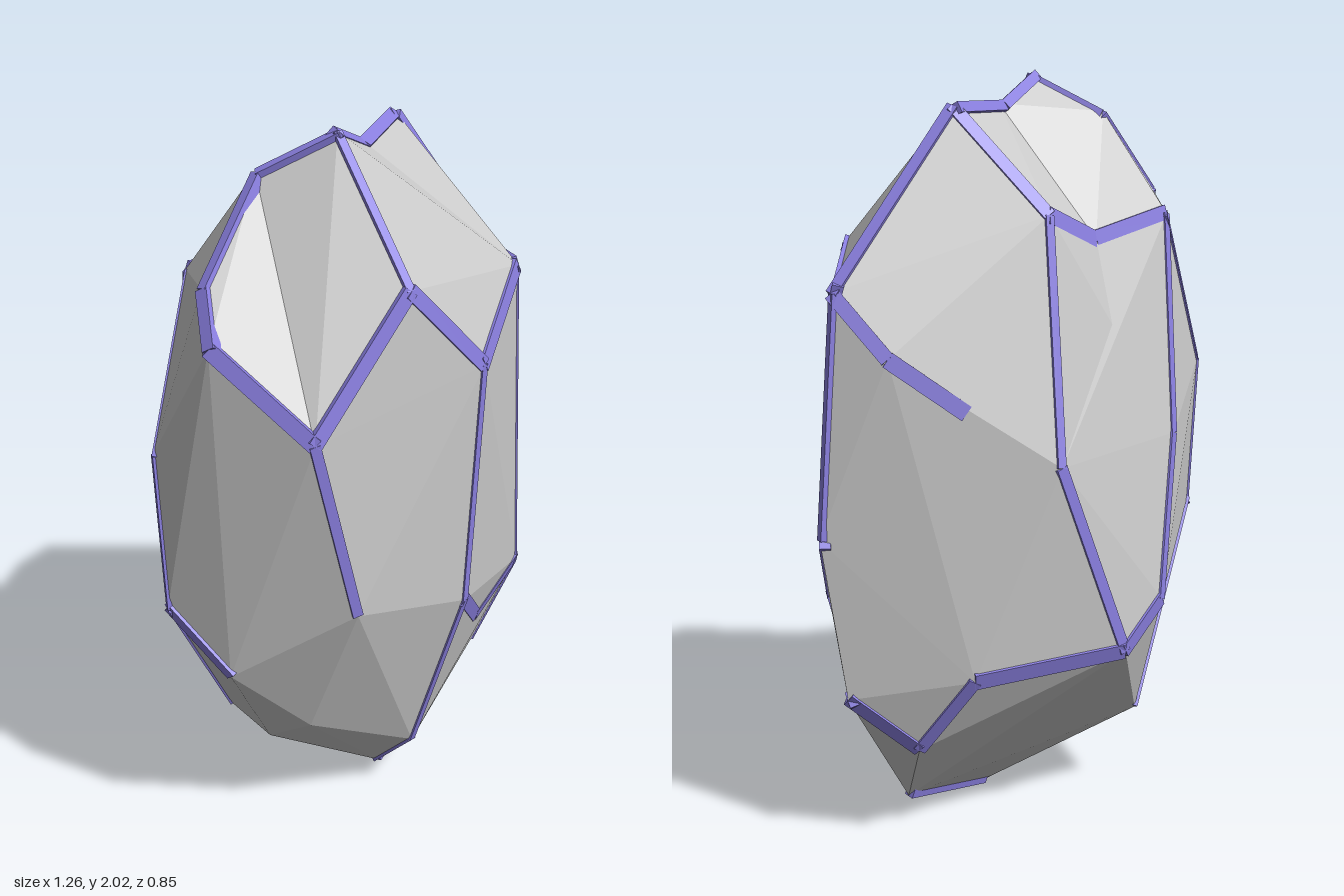
import * as THREE from 'three';
import { ConvexGeometry } from 'three/addons/geometries/ConvexGeometry.js';
import { mergeGeometries } from 'three/addons/utils/BufferGeometryUtils.js';

// Corners of the faceted stone: capitals on the front and sides, lower case on the back
const corners = {
  A: [-0.19, 2.0, 0.14], B: [-0.03, 1.925, 0.07], C: [0.21, 1.93, -0.06],
  D: [-0.33, 1.9, 0], E: [-0.56, 1.68, 0.06], F: [-0.62, 1.57, 0.15],
  G: [-0.46, 1.33, 0.34], H: [-0.18, 1.66, 0.38], I: [0.05, 1.41, 0.42],
  J: [0.34, 1.56, 0.27], K: [0.57, 1.48, -0.05], L: [0.62, 0.85, -0.05],
  M: [0.44, 0.61, 0.23], N: [0.22, 0.53, 0.27], O: [0.04, 0.71, 0.39],
  P: [0, 0.19, 0.24], Q: [0.04, 0, 0.06], R: [0.35, 0.07, -0.03],
  S: [0.41, 0.29, 0.1], T: [0.57, 0.42, -0.09], U: [-0.62, 0.77, -0.06],
  V: [-0.54, 0.59, 0.09], W: [-0.33, 0.37, 0.17], X: [-0.27, 0.18, -0.07],
  Y: [-0.335, 0.81, 0.36],
  a: [0.05, 1.66, -0.26], b: [-0.15, 1.58, -0.2], c: [-0.42, 1.63, -0.17],
  e: [-0.61, 1.2, -0.1], f: [-0.35, 1.05, -0.3], g: [-0.24, 0.62, -0.39],
  h: [-0.09, 0.51, -0.42], i: [0.12, 1.04, -0.41], j: [0.32, 0.48, -0.31],
  k: [0.41, 0.27, -0.18], l: [0.48, 1.32, -0.165], m: [0.31, 1.18, -0.26],
  n: [-0.295, 0.24, -0.22],
};

// Seams, each a chain of corners
const seamChains = [
  'KCBADEFGHIJKL', 'AH', 'GY', 'IOPQR', 'ONML', 'JMSTkjhgfcbaC',
  'aih', 'ceUn', 'UV', 'Klm',
];

const point = (key) => new THREE.Vector3(...corners[key]);
const hull = (keys) => new ConvexGeometry([...keys].map(point));
const allBut = (left) => Object.keys(corners).filter((key) => !left.includes(key));

// Face planes of a convex geometry
function facePlanes(geometry) {
  const pos = geometry.attributes.position;
  const planes = [];
  for (let v = 0; v < pos.count; v += 3) {
    const [p, q, r] = [0, 1, 2].map((s) => new THREE.Vector3().fromBufferAttribute(pos, v + s));
    planes.push(new THREE.Plane().setFromCoplanarPoints(p, q, r));
  }
  return planes;
}

// Outward direction near a point: the nearest faces count most
function outward(p, planes) {
  const out = new THREE.Vector3();
  for (const plane of planes) {
    out.addScaledVector(plane.normal, Math.exp(plane.distanceToPoint(p) / 0.008));
  }
  return out.normalize();
}

// Distance from a point along a direction until it leaves a convex part
function exitDistance(p, out, planes) {
  let distance = 0.03;
  for (const plane of planes) {
    const slope = plane.normal.dot(out);
    const inside = -plane.distanceToPoint(p);
    if (slope > 0.05) distance = Math.min(distance, inside / slope);
    else if (inside < -0.001) return 0;
  }
  return distance;
}

// Flat strip laid along one edge, wider where it runs level across a steep side
function seamStrip(from, to, outer, parts) {
  const depth = 0.03;
  const [p, q] = [from, to].map((key) => {
    const corner = point(key);
    const out = outward(corner, outer);
    const lift = Math.max(0, ...parts.map((planes) => exitDistance(corner, out, planes)));
    return corner.addScaledVector(out, lift);
  });
  const along = q.clone().sub(p);
  const length = along.length();
  along.normalize();
  const middle = p.clone().add(q).multiplyScalar(0.5);
  const out = outward(middle, outer);
  out.addScaledVector(along, -out.dot(along)).normalize();
  const side = out.clone().cross(along);
  const width = 0.022 + 0.026 * Math.abs(side.y);
  const place = new THREE.Matrix4().makeBasis(side, out, along)
    .setPosition(middle.addScaledVector(out, 0.002 - depth / 2));
  return new THREE.BoxGeometry(width, depth, length).applyMatrix4(place);
}

export function createModel() {
  const group = new THREE.Group();
  const stone = new THREE.MeshStandardMaterial({ color: 0xcccccc, flatShading: true });
  const violet = new THREE.MeshStandardMaterial({ color: 0x8a7fe0, flatShading: true });
  const add = (name, geometry, material) => {
    const mesh = new THREE.Mesh(geometry, material);
    mesh.name = name;
    group.add(mesh);
  };

  // Two convex halves meet in the shallow valley of the top; the shoulder makes the notch
  const parts = {
    peakHalf: hull(allBut('EFCa')),
    flatHalf: hull(allBut('EFADc')),
    shoulder: hull('DEFGceUVY'),
  };
  for (const [name, geometry] of Object.entries(parts)) add(name, geometry, stone);

  // Violet seams along the main edges
  const outer = facePlanes(hull(Object.keys(corners)));
  const partPlanes = Object.values(parts).map(facePlanes);
  const strips = [];
  for (const chain of seamChains) {
    for (let s = 1; s < chain.length; s++) {
      strips.push(seamStrip(chain[s - 1], chain[s], outer, partPlanes));
    }
  }
  add('edgeSeams', mergeGeometries(strips), violet);
  return group;
}
